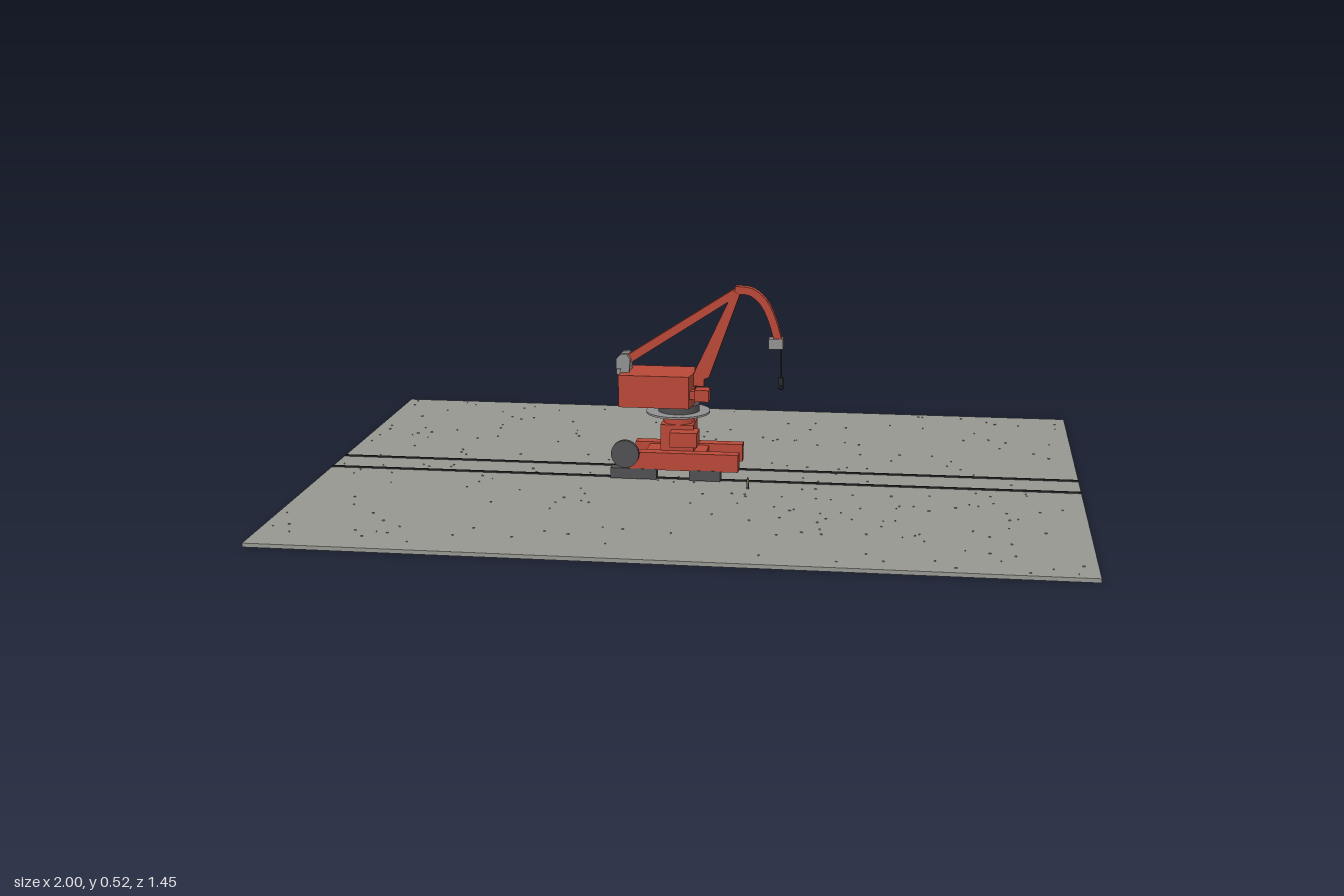
import * as THREE from 'three';
import { mergeGeometries } from 'three/addons/utils/BufferGeometryUtils.js';

export function createModel() {
  const root = new THREE.Group();
  root.name = 'harbourCrane';

  const mat = (name, color) => {
    const m = new THREE.MeshStandardMaterial({ color });
    m.name = name;
    return m;
  };
  const red = mat('red paint', 0xb84837);
  const concrete = mat('concrete', 0x979792);
  const grey = mat('grey steel', 0x8f918f);
  const dark = mat('dark steel', 0x505052);
  const black = mat('black rail', 0x2a2a2a);
  const cloth = mat('olive cloth', 0x6a6848);

  const add = (name, geometry, material, x = 0, y = 0, z = 0) => {
    const m = new THREE.Mesh(geometry, material);
    m.name = name;
    m.position.set(x, y, z);
    root.add(m);
    return m;
  };
  // Box given by its lower and upper limits on each axis
  const box = (name, material, x0, x1, y0, y1, z0, z1) =>
    add(name, new THREE.BoxGeometry(x1 - x0, y1 - y0, z1 - z0), material,
      (x0 + x1) / 2, (y0 + y1) / 2, (z0 + z1) / 2);
  // Side profile in x and y, extruded to a width centred on z
  const profile = (name, material, points, width, z = 0) => {
    const g = new THREE.ExtrudeGeometry(new THREE.Shape(points.map(p => new THREE.Vector2(...p))),
      { depth: width, bevelEnabled: false });
    return add(name, g, material, 0, 0, z - width / 2);
  };

  // Quay slab and rails
  box('quaySlab', concrete, -1, 1, 0, 0.01, -0.725, 0.725);
  for (const z of [-0.057, 0.053]) box('rail', black, -1, 1, 0.008, 0.014, z - 0.003, z + 0.003);

  // Low gravel scattered over the quay
  let seed = 7;
  const rand = () => (seed = (seed * 16807) % 2147483647) / 2147483647;
  const stones = [];
  for (let i = 0; i < 250; i++) {
    const s = 0.002 + rand() * 0.002;
    const g = new THREE.BoxGeometry(s * 1.5, 0.003, s);
    g.rotateY(rand() * Math.PI);
    g.translate((rand() - 0.5) * 1.96, 0.0105, (rand() - 0.5) * 1.42);
    stones.push(g);
  }
  add('gravel', mergeGeometries(stones), concrete);

  // Undercarriage: a beam and two bogies over each rail
  for (const z of [-0.055, 0.055]) {
    box('chassisBeam', red, -0.18, 0.11, 0.038, 0.085, z - 0.016, z + 0.016);
    for (const [x0, x1] of [[-0.23, -0.107], [-0.02, 0.063]]) {
      box('bogie', dark, x0, x1, 0.012, 0.04, z - 0.017, z + 0.017);
    }
  }
  box('crossBeam', red, -0.14, 0.02, 0.04, 0.08, -0.045, 0.045);

  // Pedestal with its machine box
  box('pedestalBase', red, -0.1, -0.012, 0.06, 0.155, -0.042, 0.044);
  add('pedestalColumn', new THREE.CylinderGeometry(0.041, 0.041, 0.04, 24), red, -0.056, 0.17, 0);
  box('machineBox', red, -0.07, 0.002, 0.104, 0.143, 0.028, 0.081);

  // Cable reel
  add('cableReel', new THREE.CylinderGeometry(0.037, 0.037, 0.012, 32).rotateX(Math.PI / 2),
    dark, -0.188, 0.083, 0.083);
  add('reelAxle', new THREE.CylinderGeometry(0.008, 0.008, 0.03, 12).rotateX(Math.PI / 2),
    dark, -0.188, 0.083, 0.066);

  // Round walkway and slewing ring
  add('walkway', new THREE.CylinderGeometry(0.085, 0.085, 0.005, 40), grey, -0.058, 0.183, 0);
  add('slewingRing', new THREE.CylinderGeometry(0.055, 0.055, 0.02, 32), dark, -0.056, 0.195, 0);

  // Machinery house with a gently bowed front
  const plan = new THREE.Shape();
  plan.moveTo(-0.208, -0.064);
  plan.lineTo(-0.022, -0.064);
  plan.quadraticCurveTo(-0.008, 0, -0.022, 0.064);
  plan.lineTo(-0.208, 0.064);
  plan.closePath();
  add('machineryHouse', new THREE.ExtrudeGeometry(plan, { depth: 0.086, bevelEnabled: false, curveSegments: 10 })
    .rotateX(-Math.PI / 2), red, 0, 0.204, 0);
  box('counterweight', grey, -0.218, -0.206, 0.285, 0.3, -0.034, 0.034);

  // Rear brackets that hold the back strut
  for (const z of [-0.021, 0.021]) {
    profile('strutBracket', grey, [[-0.22, 0.29], [-0.185, 0.29], [-0.182, 0.325], [-0.192, 0.34],
      [-0.208, 0.338], [-0.22, 0.325]], 0.014, z);
  }

  // Operator cab
  box('cab', red, -0.006, 0.031, 0.224, 0.255, 0.022, 0.062);
  box('cabBracket', red, -0.024, 0.0, 0.228, 0.25, 0.03, 0.055);

  // Tapered boom and back strut
  profile('boom', red, [[-0.02, 0.278], [0.004, 0.27], [0.026, 0.28], [0.106, 0.502], [0.09, 0.513]], 0.028);
  box('boomFoot', red, -0.025, 0.012, 0.255, 0.285, -0.014, 0.014);
  profile('backStrut', red, [[-0.2, 0.328], [-0.186, 0.311], [0.1, 0.498], [0.088, 0.515]], 0.022);

  // Curved jib, swept as a band of constant thickness
  const curve = new THREE.CatmullRomCurve3([[0.093, 0.514], [0.135, 0.51], [0.168, 0.483],
    [0.192, 0.434], [0.207, 0.382]].map(p => new THREE.Vector3(p[0], p[1], 0)));
  const upper = [], lower = [];
  for (let i = 0; i <= 12; i++) {
    const p = curve.getPoint(i / 12), t = curve.getTangent(i / 12);
    upper.push([p.x - t.y * 0.01, p.y + t.x * 0.01]);
    lower.unshift([p.x + t.y * 0.01, p.y - t.x * 0.01]);
  }
  profile('curvedJib', red, upper.concat(lower), 0.024);

  // Jib head, cable and hook
  box('jibHead', grey, 0.182, 0.22, 0.36, 0.387, -0.015, 0.015);
  add('hoistCable', new THREE.CylinderGeometry(0.0018, 0.0018, 0.085, 8), black, 0.215, 0.32, 0);
  box('hookBlock', black, 0.209, 0.221, 0.262, 0.282, -0.007, 0.007);
  add('hook', new THREE.TorusGeometry(0.006, 0.0022, 8, 16, Math.PI * 1.5).rotateZ(Math.PI),
    black, 0.215, 0.256, 0);

  // Dock worker standing on the quay
  for (const x of [0.139, 0.143]) box('workerLeg', dark, x - 0.0015, x + 0.0015, 0.01, 0.024, 0.118, 0.121);
  box('workerBody', cloth, 0.1375, 0.1445, 0.024, 0.036, 0.1175, 0.1215);
  add('workerHead', new THREE.SphereGeometry(0.0026, 10, 8), cloth, 0.141, 0.0385, 0.1195);

  return root;
}
